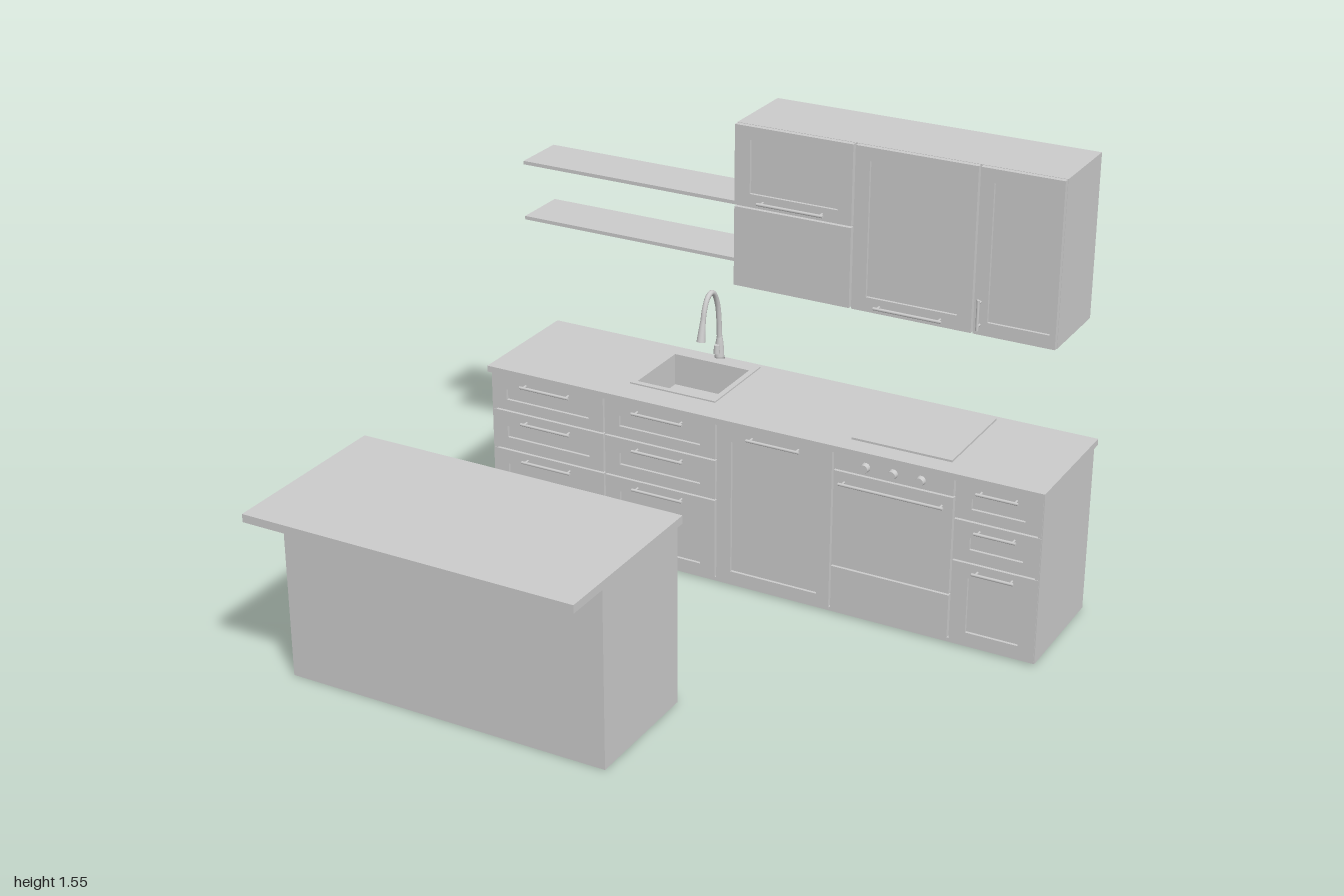
import * as THREE from 'three';

const grey = new THREE.MeshStandardMaterial({ color: 0xcccccc, side: THREE.DoubleSide });

function add(parent, name, geometry) {
  const mesh = new THREE.Mesh(geometry, grey);
  mesh.name = name;
  parent.add(mesh);
  return mesh;
}

function group(parent, name) {
  const g = new THREE.Group();
  g.name = name;
  parent.add(g);
  return g;
}

// Box given by its limits on each axis
function box(parent, name, [x0, x1], [y0, y1], [z0, z1]) {
  const mesh = add(parent, name, new THREE.BoxGeometry(x1 - x0, y1 - y0, z1 - z0));
  mesh.position.set((x0 + x1) / 2, (y0 + y1) / 2, (z0 + z1) / 2);
  return mesh;
}

// Rectangular plate with a rectangular hole, extruded along z from 0
function frame([x0, x1, y0, y1], [a0, a1, b0, b1], depth) {
  const loop = (l, r, b, t) => [[l, b], [r, b], [r, t], [l, t]].map(p => new THREE.Vector2(...p));
  const shape = new THREE.Shape(loop(x0, x1, y0, y1));
  shape.holes.push(new THREE.Path(loop(a0, a1, b0, b1).reverse()));
  return new THREE.ExtrudeGeometry(shape, { depth, bevelEnabled: false });
}

// Same plate laid flat: limits are x and z, thickness goes up from 0
function flatFrame([x0, x1, z0, z1], [a0, a1, c0, c1], depth) {
  return frame([x0, x1, -z1, -z0], [a0, a1, -c1, -c0], depth).rotateX(-Math.PI / 2);
}

const T = 0.018; // thickness of doors and drawer fronts

// Door or drawer front with a sunken middle panel
function panelFront(parent, name, outer, inner, z) {
  const g = group(parent, name);
  add(g, 'frontFrame', frame(outer, inner, T)).position.z = z - T;
  box(g, 'sunkenPanel', inner.slice(0, 2), inner.slice(2), [z - T, z - 0.01]);
}

// Bar handle on two posts
function handle(parent, x, y, z, length, vertical = false) {
  const g = group(parent, 'handle');
  const bar = add(g, 'handleBar', new THREE.CylinderGeometry(0.005, 0.005, length, 10));
  bar.rotation.z = Math.PI / 2;
  bar.position.z = 0.02;
  for (const s of [-1, 1]) {
    const post = add(g, 'handlePost', new THREE.CylinderGeometry(0.004, 0.004, 0.02, 8));
    post.rotation.x = Math.PI / 2;
    post.position.set(s * (length / 2 - 0.012), 0, 0.01);
  }
  g.position.set(x, y, z);
  if (vertical) g.rotation.z = Math.PI / 2;
}

function drawerColumn(parent, x0, x1) {
  const g = group(parent, 'drawerColumn');
  const mid = (x0 + x1) / 2, w = x1 - x0, inset = Math.min(0.055, w * 0.19);
  // bottom, top, recess bottom, recess top, handle height
  const rows = [
    [0.452, 0.58, 0.49, 0.528, 0.556],
    [0.307, 0.446, 0.35, 0.392, 0.42],
    [0.012, 0.301, 0.056, 0.25, 0.278],
  ];
  for (const [y0, y1, r0, r1, h] of rows) {
    panelFront(g, 'drawerFront', [x0, x1, y0, y1], [x0 + inset, x1 - inset, r0, r1], -0.45);
    handle(g, mid, h, -0.45, w > 0.35 ? 0.19 : 0.14);
  }
}

function buildIsland(root) {
  const g = group(root, 'island');
  box(g, 'islandBody', [-0.995, 0.125], [0, 0.615], [0.275, 0.71]);
  box(g, 'islandTop', [-1, 0.14], [0.613, 0.64], [0.27, 0.89]);
}

function buildOven(parent) {
  const g = group(parent, 'oven');
  const X = [0.287, 0.697];
  box(g, 'controlPanel', X, [0.521, 0.58], [-0.468, -0.45]);
  box(g, 'ovenDoor', X, [0.178, 0.515], [-0.468, -0.45]);
  box(g, 'warmingDrawer', X, [0.012, 0.172], [-0.468, -0.45]);
  handle(g, 0.492, 0.48, -0.45, 0.36);
  for (const x of [0.397, 0.492, 0.587]) {
    const knob = add(g, 'ovenKnob', new THREE.CylinderGeometry(0.014, 0.016, 0.018, 20));
    knob.rotation.x = Math.PI / 2;
    knob.position.set(x, 0.55, -0.441);
  }
  box(g, 'cooktop', [0.32, 0.665], [0.606, 0.614], [-0.86, -0.505]);
}

function buildSink(parent) {
  const g = group(parent, 'sink');
  const [x0, x1, z0, z1] = [-0.49, -0.207, -0.815, -0.56];
  add(g, 'sinkRim', flatFrame([-0.508, -0.188, -0.862, -0.54], [x0, x1, z0, z1], 0.006)).position.y = 0.606;
  // Basin walls and floor
  const Y = [0.5, 0.607], w = 0.004;
  box(g, 'basinWall', [x0 - w, x0], Y, [z0, z1]);
  box(g, 'basinWall', [x1, x1 + w], Y, [z0, z1]);
  box(g, 'basinWall', [x0 - w, x1 + w], Y, [z0 - w, z0]);
  box(g, 'basinWall', [x0 - w, x1 + w], Y, [z1, z1 + w]);
  box(g, 'basinFloor', [x0 - w, x1 + w], [0.496, 0.5], [z0 - w, z1 + w]);
  add(g, 'drain', new THREE.CylinderGeometry(0.02, 0.02, 0.004, 20)).position.set(-0.348, 0.501, -0.69);
}

function buildFaucet(parent) {
  const g = group(parent, 'faucet');
  g.position.x = -0.348;
  const base = add(g, 'faucetBase', new THREE.LatheGeometry(
    [[0, 0], [0.019, 0], [0.016, 0.012], [0.014, 0.055], [0.009, 0.085]].map(p => new THREE.Vector2(...p)), 20));
  base.position.set(0, 0.606, -0.868);
  // Arched neck
  const points = [[0.65, -0.868], [0.74, -0.864], [0.81, -0.852], [0.855, -0.828], [0.867, -0.806],
    [0.855, -0.78], [0.82, -0.76], [0.78, -0.75]];
  const path = new THREE.CatmullRomCurve3(points.map(([y, z]) => new THREE.Vector3(0, y, z)));
  add(g, 'neck', new THREE.TubeGeometry(path, 40, 0.009, 12));
  // Spray head flares towards its lower end
  const head = add(g, 'sprayHead', new THREE.CylinderGeometry(0.009, 0.015, 0.075, 16));
  head.position.set(0, 0.752, -0.744);
  head.rotation.x = -0.2;
  const lever = add(g, 'lever', new THREE.CylinderGeometry(0.009, 0.011, 0.03, 12));
  lever.position.set(0, 0.647, -0.848);
}

function buildCounter(root) {
  const g = group(root, 'baseCabinets');
  const Y = [0.006, 0.586];
  // Open-topped carcass leaves room for the basin
  box(g, 'backPanel', [-0.995, 0.995], Y, [-0.868, -0.855]);
  box(g, 'frontPanel', [-0.995, 0.995], Y, [-0.48, -0.467]);
  box(g, 'bottomPanel', [-0.995, 0.995], [0.006, 0.02], [-0.868, -0.452]);
  for (const s of [-1, 1]) {
    box(g, 'sidePanel', [s * 0.9875 - 0.0075, s * 0.9875 + 0.0075], Y, [-0.868, -0.452]);
  }
  add(g, 'countertop', flatFrame([-1, 1, -0.885, -0.435], [-0.494, -0.203, -0.819, -0.556], 0.022)).position.y = 0.585;

  drawerColumn(g, -0.992, -0.56);
  drawerColumn(g, -0.553, -0.139);
  panelFront(g, 'cabinetDoor', [-0.132, 0.28, 0.012, 0.58], [-0.08, 0.235, 0.056, 0.528], -0.45);
  handle(g, 0.078, 0.556, -0.45, 0.19);
  buildOven(g);
  drawerColumn(g, 0.704, 0.992);
  buildSink(g);
  buildFaucet(g);
}

function buildWallUnits(root) {
  const g = group(root, 'wallCabinets');
  const Z = -0.588;
  box(g, 'wallCarcass', [-0.15, 0.945], [1.01, 1.55], [-0.882, Z - T]);
  box(g, 'plainFront', [-0.149, 0.258], [1.012, 1.278], [Z - T, Z]);
  panelFront(g, 'flapDoor', [-0.149, 0.258, 1.284, 1.549], [-0.095, 0.21, 1.328, 1.505], Z);
  panelFront(g, 'middleDoor', [0.266, 0.67, 1.012, 1.549], [0.315, 0.622, 1.06, 1.505], Z);
  panelFront(g, 'sideDoor', [0.677, 0.944, 1.012, 1.549], [0.722, 0.925, 1.056, 1.505], Z);
  handle(g, 0.055, 1.306, Z, 0.23);
  handle(g, 0.465, 1.036, Z, 0.23);
  handle(g, 0.698, 1.083, Z, 0.1, true);

  const shelves = group(root, 'openShelves');
  for (const y of [1.045, 1.24]) box(shelves, 'shelf', [-1, -0.15], [y, y + 0.012], [-0.885, -0.695]);
}

export function createModel() {
  const root = new THREE.Group();
  root.name = 'kitchen';
  buildIsland(root);
  buildCounter(root);
  buildWallUnits(root);
  return root;
}
